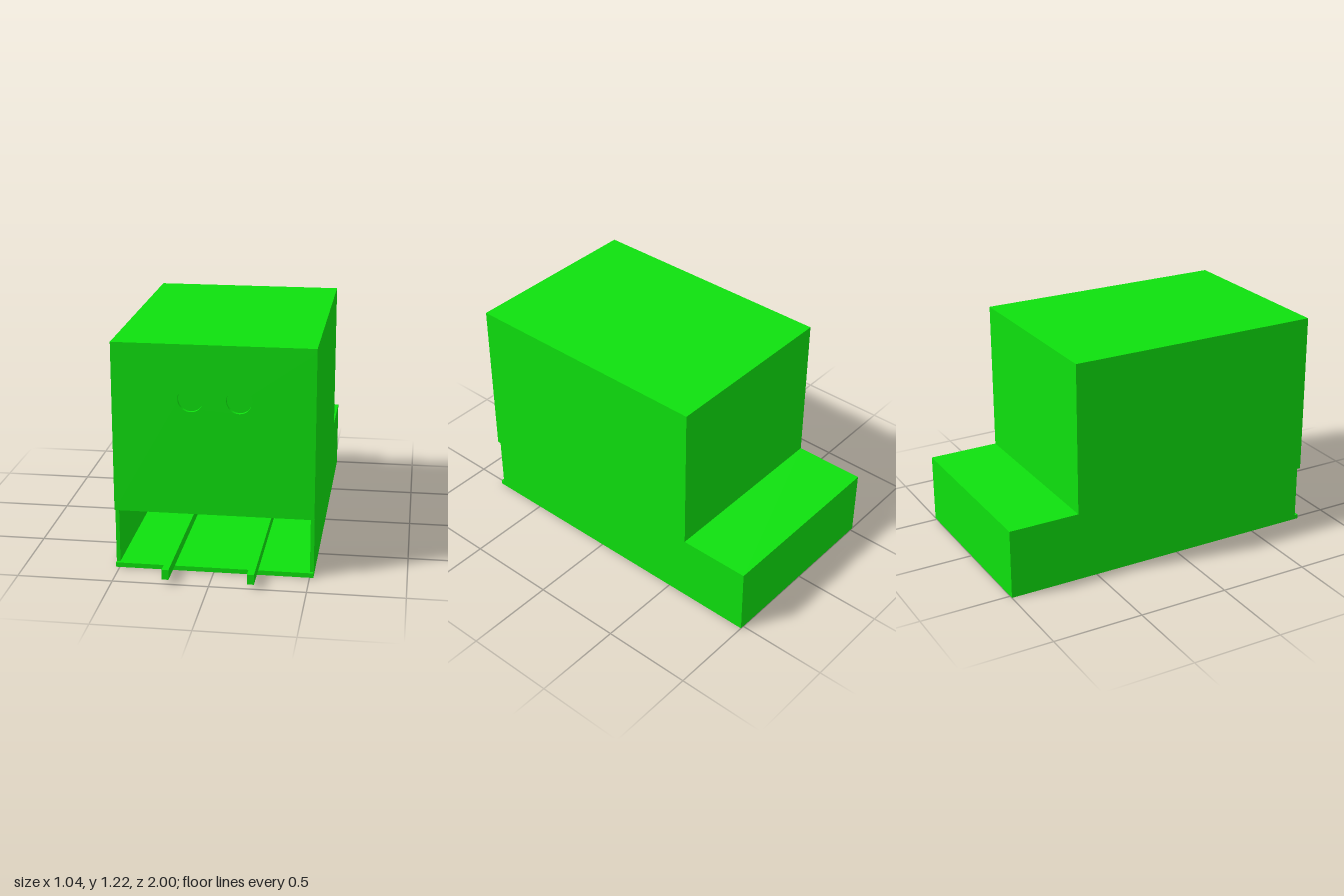
import * as THREE from 'three';

const T = 0.02; // panel thickness
const W = 0.52; // half width
const material = new THREE.MeshStandardMaterial({ color: 0x0ee00e, flatShading: true });

export function createModel() {
  const model = new THREE.Group();

  const add = (name, geometry) => {
    const mesh = new THREE.Mesh(geometry, material);
    mesh.name = name;
    model.add(mesh);
    return mesh;
  };

  // Box given by its minimum and maximum corners
  const box = (name, x0, x1, y0, y1, z0, z1) =>
    add(name, new THREE.BoxGeometry(x1 - x0, y1 - y0, z1 - z0)
      .translate((x0 + x1) / 2, (y0 + y1) / 2, (z0 + z1) / 2));

  const outline = (points) => new THREE.Shape(points.map(([x, y]) => new THREE.Vector2(x, y)));
  const panel = (shape) =>
    new THREE.ExtrudeGeometry(shape, { depth: T, bevelEnabled: false, curveSegments: 24 });

  // Floor and roofs
  box('floor', -W, W, 0, 0.025, -1, 0.82);
  box('roof', -W, W, 1.2, 1.22, -0.605, 0.82);
  box('trayRoof', -W, W, 0.365, 0.385, -1, -0.605);

  // Stepped side walls, drawn as (-z, y) and turned to face sideways
  const side = [[-0.8, 0.025], [1, 0.025], [1, 0.365], [0.605, 0.365], [0.605, 1.2], [-0.8, 1.2]];
  for (const [name, x] of [['leftWall', W - T], ['rightWall', -W]]) {
    add(name, panel(outline(side)).rotateY(Math.PI / 2).translate(x, 0, 0));
  }

  // Back walls
  box('upperBackWall', -W + T, W - T, 0.365, 1.2, -0.605, -0.585);
  box('lowerBackWall', -W + T, W - T, 0.025, 0.365, -1, -0.98);

  // Front plate with two round holes
  const front = outline([[-W, 0.32], [W, 0.32], [W, 1.2], [-W, 1.2]]);
  for (const x of [-0.115, 0.133]) {
    front.holes.push(new THREE.Path().absarc(x, 0.935, 0.066, 0, Math.PI * 2, true));
  }
  add('frontPlate', panel(front).translate(0, 0, 0.8));

  // Inner partition with two doorways
  const i = W - T;
  const partition = outline([
    [-i, 0.025], [-0.41, 0.025], [-0.41, 0.36], [-0.022, 0.36], [-0.022, 0.025],
    [0.025, 0.025], [0.025, 0.36], [0.415, 0.36], [0.415, 0.025],
    [i, 0.025], [i, 1.2], [-i, 1.2],
  ]);
  add('innerPartition', panel(partition).translate(0, 0, -0.19));

  // Rails running out of the front, one through each doorway
  for (const x of [-0.224, 0.215]) {
    box('rail', x - 0.018, x + 0.018, 0.025, 0.078, -0.98, 1);
  }

  return model;
}
